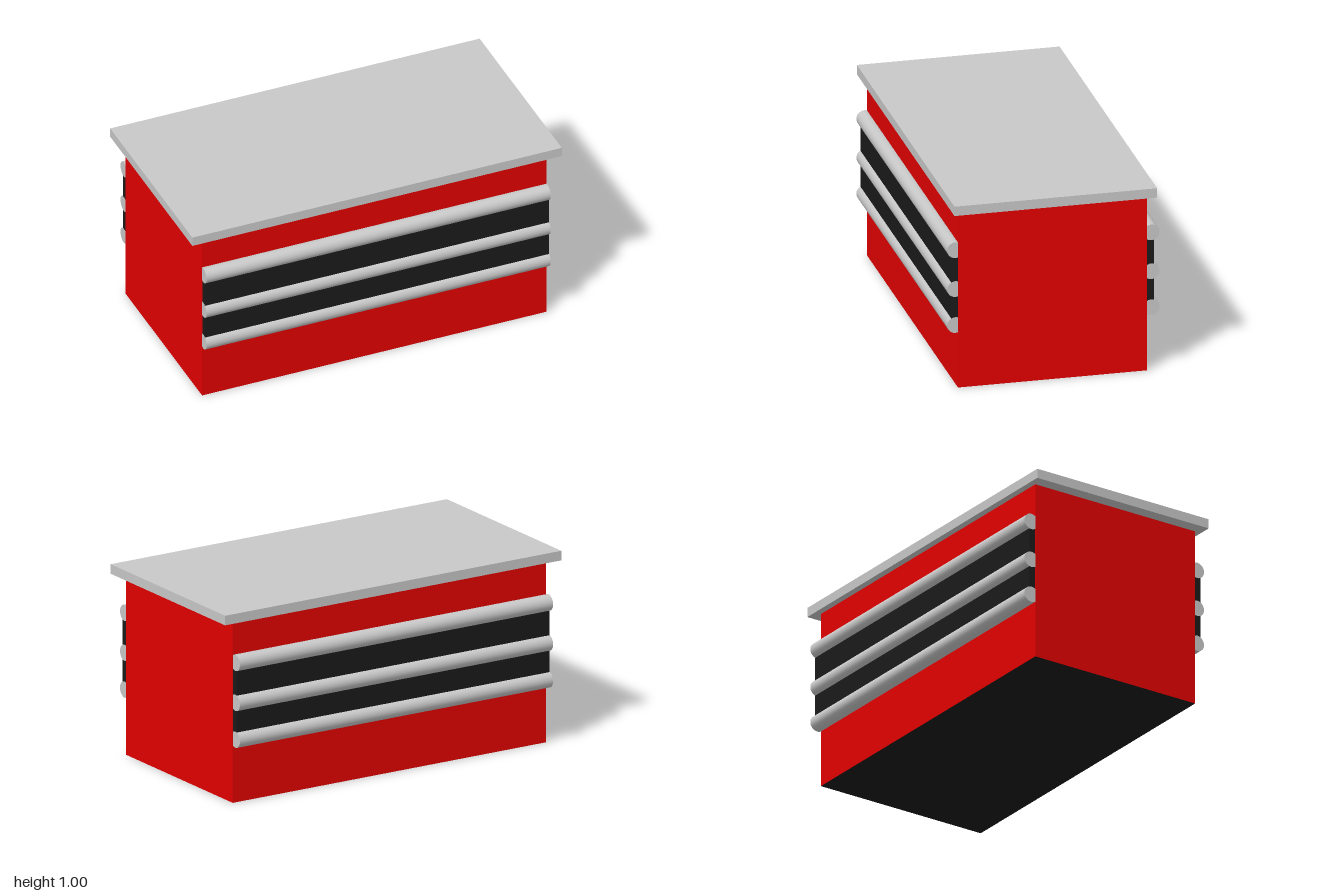
import * as THREE from 'three';

function material(name, color) {
  const m = new THREE.MeshStandardMaterial({ color });
  m.name = name;
  return m;
}

export function createModel() {
  const red = material('red paint', 0xe30000);
  const grey = material('grey metal', 0xc8c8c8);
  const black = material('black', 0x1a1a1a);
  const model = new THREE.Group();
  model.name = 'counter';

  const add = (name, geometry, mat, x, y, z) => {
    const mesh = new THREE.Mesh(geometry, mat);
    mesh.name = name;
    mesh.position.set(x, y, z);
    model.add(mesh);
    return mesh;
  };

  // Red cabinet with a black underside
  add('body', new THREE.BoxGeometry(1.864, 0.945, 0.97),
    [red, red, red, black, red, red], 0, 0.4725, 0.005);

  // Overhanging worktop
  add('worktop', new THREE.BoxGeometry(2, 0.05, 1.04), grey, 0, 0.97, 0.005);

  // Black panel and three round rails on the front and the back
  const width = 1.862;
  for (const [label, s] of [['front', 1], ['back', -1]]) {
    const outer = s > 0 ? 0.524 : 0.515;
    add(label + 'Panel', new THREE.BoxGeometry(width, 0.4, outer - 0.46), black,
      0, 0.535, s * (outer + 0.46) / 2);
    for (const y of [0.735, 0.527, 0.335]) {
      const rail = add(label + 'Rail',
        new THREE.CylinderGeometry(0.042, 0.042, width + 0.001, 32), grey, 0, y, s * 0.503);
      rail.rotation.z = Math.PI / 2;
    }
  }
  return model;
}
